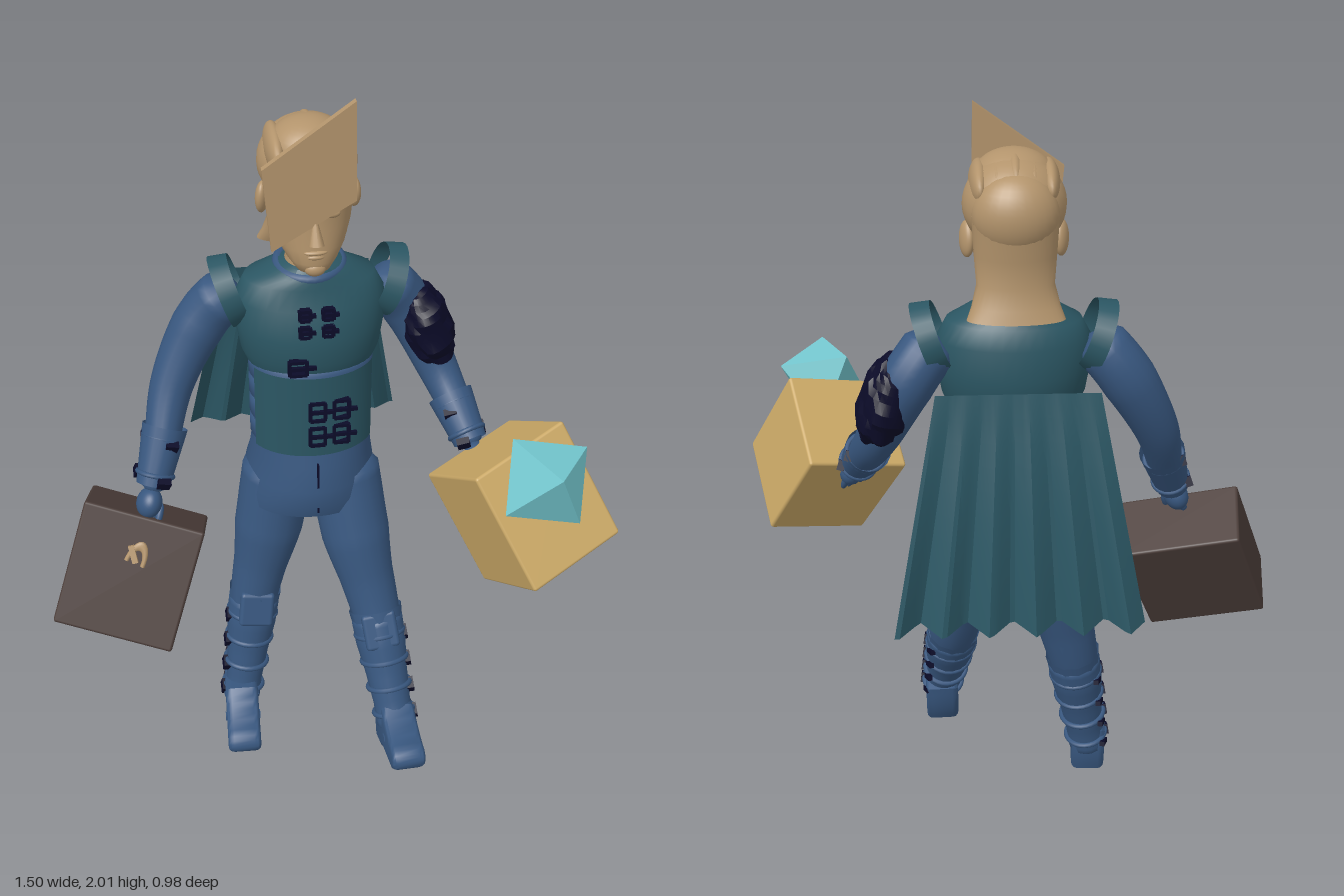
import * as THREE from 'three';
import { mergeVertices, toCreasedNormals } from 'three/addons/utils/BufferGeometryUtils.js';
import { RoundedBoxGeometry } from 'three/addons/geometries/RoundedBoxGeometry.js';

const V = (a) => new THREE.Vector3(...a);
const paint = (name, color, side = THREE.FrontSide) => {
  const m = new THREE.MeshStandardMaterial({ color, side });
  m.name = name;
  return m;
};

export function createModel() {
  const root = new THREE.Group();
  root.name = 'cloakedCourier';
  const blue = paint('blueCloth', 0x38577f, THREE.DoubleSide);
  const teal = paint('tealCloth', 0x2b5663, THREE.DoubleSide);
  const skin = paint('tan', 0xb3946c);
  const navy = paint('darkNavy', 0x0b0b28);
  const brown = paint('darkBrown', 0x4b3d39);
  const gold = paint('gold', 0xcba967);
  const cyan = paint('cyan', 0x74c7cf);

  const add = (name, geo, mat, pos = [0, 0, 0], rot = [0, 0, 0], scale = [1, 1, 1], parent = root) => {
    const m = new THREE.Mesh(geo, mat);
    m.name = name;
    m.position.set(...pos);
    m.rotation.set(...rot);
    m.scale.set(...scale);
    parent.add(m);
    return m;
  };
  const smooth = (geo, crease = 0.9) => {
    geo.deleteAttribute('uv');
    geo.deleteAttribute('normal');
    return toCreasedNormals(mergeVertices(geo, 1e-5), crease);
  };
  const ball = new THREE.SphereGeometry(1, 28, 20);
  const blob = (name, mat, pos, scale, rot) => add(name, ball, mat, pos, rot, scale);
  const block = (name, mat, pos, size, rot) => add(name, new THREE.BoxGeometry(...size), mat, pos, rot);

  // Horizontal cross-sections from top to bottom: [y, centreX, centreZ, radiusX, radiusZ]
  const loft = (rows, open = false) => {
    const last = rows.length - 1;
    const g = new THREE.CylinderGeometry(1, 1, 1, 36, last, open);
    const p = g.attributes.position;
    for (let i = 0; i < p.count; i++) {
      const [y, cx, cz, rx, rz] = rows[Math.round((0.5 - p.getY(i)) * last)];
      p.setXYZ(i, cx + p.getX(i) * rx, y, cz + p.getZ(i) * rz);
    }
    return smooth(g);
  };
  // Tube whose radius changes along the path, with rounded ends
  const limb = (pts, radii) => {
    const curve = new THREE.CatmullRomCurve3(pts.map(V));
    const n = 28, g = new THREE.TubeGeometry(curve, n, 1, 18);
    const p = g.attributes.position, v = new THREE.Vector3();
    for (let i = 0; i < p.count; i++) {
      const t = Math.floor(i / 19) / n, f = t * (radii.length - 1);
      const k = Math.min(Math.floor(f), radii.length - 2);
      const end = Math.min(1, Math.sqrt(Math.min(t, 1 - t) * 18));
      const c = curve.getPointAt(t);
      v.fromBufferAttribute(p, i).sub(c).multiplyScalar(end * THREE.MathUtils.lerp(radii[k], radii[k + 1], f - k)).add(c);
      p.setXYZ(i, v.x, v.y, v.z);
    }
    return smooth(g, 1.4);
  };
  const aim = (mesh, dir, axis = [0, 0, 1]) => mesh.quaternion.setFromUnitVectors(V(axis), V(dir).normalize());
  const band = (name, mat, pos, dir, r, tube) =>
    aim(add(name, new THREE.TorusGeometry(r, tube, 8, 28), mat, pos), dir);

  // Neck, face and ears
  add('neck', loft([[1.62, 0, -0.1, 0.062, 0.065], [1.55, 0, -0.1, 0.062, 0.065], [1.48, 0, -0.1, 0.08, 0.08]]), skin);
  add('face', loft([
    [1.84, 0, -0.1, 0.1, 0.09], [1.78, 0, -0.1, 0.112, 0.108], [1.71, 0, -0.1, 0.109, 0.105],
    [1.66, 0, -0.09, 0.102, 0.096], [1.61, 0, -0.07, 0.085, 0.082], [1.575, 0, -0.05, 0.064, 0.065],
    [1.55, 0, -0.035, 0.044, 0.045], [1.538, 0, -0.035, 0.02, 0.022]]), skin);
  const nose = new THREE.ConeGeometry(0.022, 0.085, 12);
  add('nose', nose, skin, [0, 1.675, 0.01], [-0.3, 0, 0], [0.9, 1, 1.1]);
  blob('upperLip', skin, [0, 1.607, 0.006], [0.03, 0.007, 0.012]);
  blob('lowerLip', skin, [0, 1.594, 0.004], [0.025, 0.008, 0.012]);
  blob('chin', skin, [0, 1.558, 0.0], [0.027, 0.02, 0.018]);
  for (const s of [-1, 1]) {
    blob('ear', skin, [s * 0.115, 1.7, -0.13], [0.017, 0.045, 0.03], [0.2, s * 0.35, 0]);
    blob('eye', skin, [s * 0.042, 1.705, -0.008], [0.022, 0.012, 0.012]);
    blob('brow', skin, [s * 0.045, 1.735, -0.008], [0.035, 0.009, 0.016], [0, 0, s * 0.1]);
  }
  // Swept-back hair with a flared tail
  blob('hairCap', skin, [0, 1.79, -0.14], [0.126, 0.115, 0.12]);
  blob('hairCrown', skin, [0, 1.845, -0.11], [0.1, 0.07, 0.1]);
  blob('hairBack', skin, [0, 1.78, -0.2], [0.105, 0.1, 0.08]);
  for (let i = -2; i <= 2; i++) blob('hairLock', skin, [i * 0.042, 1.86 - Math.abs(i) * 0.012, -0.12], [0.026, 0.052, 0.105]);
  add('hairTail', loft([
    [1.78, 0, -0.2, 0.105, 0.075], [1.68, 0, -0.195, 0.1, 0.065], [1.61, 0, -0.2, 0.095, 0.055],
    [1.56, 0, -0.22, 0.108, 0.05], [1.53, 0, -0.235, 0.12, 0.045]]), skin);

  // Slanted plate in front of the forehead
  const plate = new THREE.Shape([[-0.13, 1.84], [-0.11, 1.62], [0.1, 1.745], [0.095, 2]].map((p) => new THREE.Vector2(...p)));
  add('facePlate', new THREE.ExtrudeGeometry(plate, { depth: 0.018, bevelEnabled: false }), skin, [0, 0, -0.004]);

  // Torso
  add('vest', loft([
    [1.54, 0, -0.1, 0.08, 0.08], [1.515, 0, -0.1, 0.115, 0.095], [1.49, 0, -0.11, 0.17, 0.105],
    [1.44, 0, -0.105, 0.196, 0.125], [1.36, 0, -0.1, 0.196, 0.138], [1.29, 0, -0.095, 0.185, 0.135],
    [1.255, 0, -0.092, 0.17, 0.122]]), teal);
  add('waist', loft([[1.27, 0, -0.092, 0.165, 0.12], [1.14, 0, -0.088, 0.157, 0.118], [0.99, 0, -0.085, 0.165, 0.125]]), blue);
  for (let i = 0; i < 4; i++) {
    const y = 1.235 - i * 0.065;
    add('waistBand', loft([[y + 0.03, 0, -0.089, 0.16, 0.12], [y + 0.022, 0, -0.089, 0.167, 0.127],
      [y - 0.022, 0, -0.089, 0.167, 0.127], [y - 0.03, 0, -0.089, 0.16, 0.12]]), blue);
  }
  const panel = new THREE.CylinderGeometry(1, 1, 0.25, 24, 1, true, -1.15, 2.3);
  add('waistPanel', panel, teal, [0, 1.13, -0.089], [0, 0, 0], [0.173, 1, 0.134]);
  add('collar', new THREE.TorusGeometry(0.082, 0.015, 10, 32), blue, [0, 1.525, -0.1], [Math.PI / 2 + 0.1, 0, 0]);
  add('tunicSkirt', loft([
    [1.02, 0, -0.085, 0.162, 0.122], [0.96, 0, -0.095, 0.168, 0.145], [0.89, 0, -0.115, 0.18, 0.18],
    [0.84, 0, -0.09, 0.184, 0.155], [0.8, 0, -0.07, 0.18, 0.125]]), blue);
  block('skirtSlit', navy, [0, 0.9, 0.056], [0.005, 0.16, 0.012], [-0.04, 0, 0]);

  // Front clasps and belt buckles, each a frame with a tongue
  const buckle = (x, y, z, w, h) => {
    for (const s of [-1, 1]) {
      block('buckleBar', navy, [x, y + s * h / 2, z], [w, 0.009, 0.016]);
      block('buckleSide', navy, [x + s * w / 2, y, z], [0.009, h, 0.016]);
    }
    block('buckleTongue', navy, [x + w * 0.3, y, z + 0.004], [w * 1.5, 0.01, 0.01]);
  };
  for (const y of [1.44, 1.39]) for (const s of [-1, 1]) buckle(s * 0.03, y, 0.028, 0.026, 0.028);
  buckle(-0.05, 1.29, 0.04, 0.045, 0.04);
  for (const y of [1.15, 1.07]) for (const x of [0, 0.065]) buckle(x, y, 0.044 - x * 0.1, 0.04, 0.055);

  // Pleated cape: flat at the top, wavy at the hem
  const cape = new THREE.PlaneGeometry(2, 1, 48, 10), cp = cape.attributes.position;
  for (let i = 0; i < cp.count; i++) {
    const x = cp.getX(i), t = 0.5 - cp.getY(i);
    const fold = Math.asin(Math.sin(x * 17 + 0.6)) * 0.018 * t;
    cp.setXYZ(i, x * (0.2 + 0.115 * t), 1.38 - 0.59 * t + fold * 0.3, -0.342 - 0.12 * t + fold);
  }
  cape.computeVertexNormals();
  add('cape', toCreasedNormals(cape, 0.3), teal);

  // Arms, shoulder flaps, bracers and hands
  const arms = {
    right: [[-0.19, 1.45, -0.13], [-0.27, 1.36, -0.15], [-0.37, 1.18, -0.11], [-0.425, 0.99, -0.01], [-0.455, 0.91, 0.03]],
    left: [[0.19, 1.45, -0.13], [0.27, 1.34, -0.16], [0.355, 1.16, -0.11], [0.405, 1.05, -0.01], [0.43, 0.99, 0.06]],
  };
  for (const [side, pts] of Object.entries(arms)) {
    const s = side === 'left' ? 1 : -1;
    add(side + 'Arm', limb(pts, [0.07, 0.072, 0.06, 0.048, 0.036]), blue);
    const flap = new THREE.CylinderGeometry(0.088, 0.098, 0.05, 24, 1, true);
    aim(add(side + 'ShoulderFlap', flap, teal, [s * 0.205, 1.445, -0.125]), [-s, 0.35, 0], [0, 1, 0]);
    const a = V(pts[2]).lerp(V(pts[3]), 0.5), b = V(pts[4]);
    const dir = b.clone().sub(a).normalize();
    const mid = a.clone().lerp(b, 0.45);
    aim(add(side + 'Bracer', new THREE.CylinderGeometry(0.046, 0.062, b.distanceTo(a) * 0.8, 20, 1, true), blue,
      mid.toArray()), dir.toArray(), [0, 1, 0]);
    for (const t of [0.2, 0.7]) {
      const c = a.clone().lerp(b, t);
      band(side + 'BracerStrap', blue, c.toArray(), dir.toArray(), 0.054 - t * 0.008, 0.007);
      block(side + 'BracerBuckle', navy, [c.x - s * 0.02, c.y, c.z + 0.05], [0.035, 0.028, 0.02], [0.4, 0, s * 0.3]);
      block(side + 'BracerBuckle', navy, [c.x + s * 0.045, c.y, c.z - 0.02], [0.02, 0.028, 0.03], [0.4, 0, s * 0.3]);
    }
    const hand = b.clone().addScaledVector(dir, 0.02);
    blob(side + 'Hand', blue, hand.toArray(), [0.034, 0.045, 0.042], [0.4, 0, s * 0.4]);
    for (let i = 0; i < 4; i++) {
      const f = hand.clone().add(V([s * (-0.024 + i * 0.015), -0.03, 0.022 - i * 0.012]));
      blob(side + 'Finger', blue, f.toArray(), [0.01, 0.034, 0.011], [-0.5, 0, s * 0.3]);
    }
  }
  // Ragged dark pad on the left upper arm
  const pad = new THREE.SphereGeometry(1, 26, 18), pp = pad.attributes.position;
  for (let i = 0; i < pp.count; i++) {
    const x = pp.getX(i), y = pp.getY(i), z = pp.getZ(i);
    const k = 1 + 0.07 * Math.sin(y * 11 + z * 4) * Math.cos(z * 7 + x * 3);
    pp.setXYZ(i, x * k, Math.sign(y) * Math.abs(y) ** 0.8 * k, z * k);
  }
  add('armPad', smooth(pad, 0.4), navy, [0.325, 1.28, -0.14], [0, 0, 0.32], [0.07, 0.125, 0.098]);

  // Legs with buckled boots
  const profile = new THREE.Shape();
  profile.moveTo(-0.03, 0.015);
  profile.lineTo(0.03, 0.015);
  profile.lineTo(0.045, 0.024);
  profile.lineTo(0.17, 0.015);
  profile.quadraticCurveTo(0.21, 0.03, 0.185, 0.058);
  profile.quadraticCurveTo(0.12, 0.078, 0.062, 0.135);
  profile.lineTo(-0.025, 0.135);
  profile.quadraticCurveTo(-0.04, 0.07, -0.03, 0.015);
  const footGeo = new THREE.ExtrudeGeometry(profile, { depth: 0.062, bevelSize: 0.015, bevelThickness: 0.018, bevelSegments: 3, curveSegments: 8 });
  footGeo.translate(0, 0, -0.031).rotateY(-Math.PI / 2);
  const foot = smooth(footGeo, 0.7);
  const legs = [
    { side: 'left', s: 1, hip: [0.085, 0.92, -0.08], thigh: [0.12, 0.67, -0.005], knee: [0.168, 0.44, 0.075], ankle: [0.205, 0.15, 0.225], heel: [0.207, 0.045, 0.235], tilt: -0.36, yaw: 0.03 },
    { side: 'right', s: -1, hip: [-0.085, 0.92, -0.1], thigh: [-0.125, 0.67, -0.085], knee: [-0.172, 0.44, -0.065], ankle: [-0.225, 0.1, -0.005], heel: [-0.23, 0, 0.01], tilt: -0.12, yaw: -0.06 },
  ];
  for (const { side, s, hip, thigh, knee, ankle, heel, tilt, yaw } of legs) {
    const K = V(knee), A = V(ankle), down = A.clone().sub(K).normalize();
    const at = (t) => K.clone().lerp(A, t);
    add(side + 'Leg', limb([hip, thigh, knee, at(0.4).toArray()], [0.1, 0.1, 0.098, 0.08, 0.07, 0.055]), blue);
    add(side + 'Boot', limb([at(-0.02).toArray(), at(0.35).toArray(), at(0.75).toArray(), at(1.15).toArray()], [0.076, 0.074, 0.062, 0.055, 0.056]), blue);
    aim(add(side + 'BootCuff', new THREE.CylinderGeometry(0.07, 0.078, 0.075, 12, 1, true), blue, at(0.08).toArray()), down.toArray(), [0, 1, 0]);
    const guard = at(0.05).add(V([0, 0, 0.064]));
    add(side + 'KneeGuard', new RoundedBoxGeometry(0.1, 0.11, 0.03, 2, 0.012), blue, guard.toArray(), [tilt - 0.1, 0, s * 0.12]);
    for (const t of [0.2, 0.45, 0.7, 0.95]) {
      const c = at(t), r = 0.073 - t * 0.016;
      band(side + 'BootStrap', blue, c.toArray(), down.toArray(), r, 0.008);
      block(side + 'BootBuckle', navy, [c.x + s * r, c.y, c.z + 0.012], [0.02, 0.03, 0.036], [0.4, 0, s * 0.15]);
      block(side + 'BootTongue', navy, [c.x + s * r * 0.85, c.y - 0.008, c.z - 0.045], [0.014, 0.014, 0.04], [0.3, s * 0.3, 0]);
    }
    add(side + 'Foot', foot, blue, heel, [tilt, yaw, 0]);
    for (const z of [0.015, 0.09]) {
      const strap = block(side + 'FootStrap', blue, [0, 0, 0], [0.105, z < 0.05 ? 0.03 : 0.016, 0.022]);
      const o = new THREE.Vector3(0, 0.108 - z * 0.5, z).applyEuler(new THREE.Euler(tilt, yaw, 0));
      strap.position.copy(V(heel).add(o));
      strap.rotation.set(tilt, yaw, 0);
    }
  }

  // Objects turned to a given right and up direction
  const turned = (name, geo, mat, pos, right, up) => {
    const m = add(name, geo, mat, pos);
    const x = V(right).normalize(), z = x.clone().cross(V(up)).normalize();
    m.quaternion.setFromRotationMatrix(new THREE.Matrix4().makeBasis(x, z.clone().cross(x), z));
    return m;
  };
  const caseBox = turned('brownCase', new RoundedBoxGeometry(0.335, 0.355, 0.19, 2, 0.008), brown,
    [-0.525, 0.68, 0.056], [0.16, -0.045, 0.04], [0.06, 0.157, -0.065]);
  const goldBox = turned('goldBox', new RoundedBoxGeometry(0.29, 0.34, 0.29, 2, 0.008), gold,
    [0.52, 0.94, 0.245], [0.1275, 0.035, -0.06], [-0.07, 0.1375, -0.0725]);
  turned('crystal', new THREE.OctahedronGeometry(0.137), cyan, [0.53, 1.12, 0.383], [0.115, 0.06, -0.05], [-0.05, 0.12, -0.09]);

  // Curved latches
  const hook = new THREE.TorusGeometry(0.026, 0.007, 8, 16, Math.PI);
  add('caseLatch', hook, skin, [0.005, 0.045, 0.098], [0, 0, -0.15], [0.9, 2, 1], caseBox);
  add('caseLatchPin', new THREE.BoxGeometry(0.016, 0.05, 0.014), skin, [-0.004, 0.07, 0.099], [0, 0, 0.5], [1, 1, 1], caseBox);
  add('boxLatch', hook, gold, [0.02, -0.17, -0.11], [Math.PI, 0, 0], [1, 0.6, 1], goldBox);
  return root;
}
